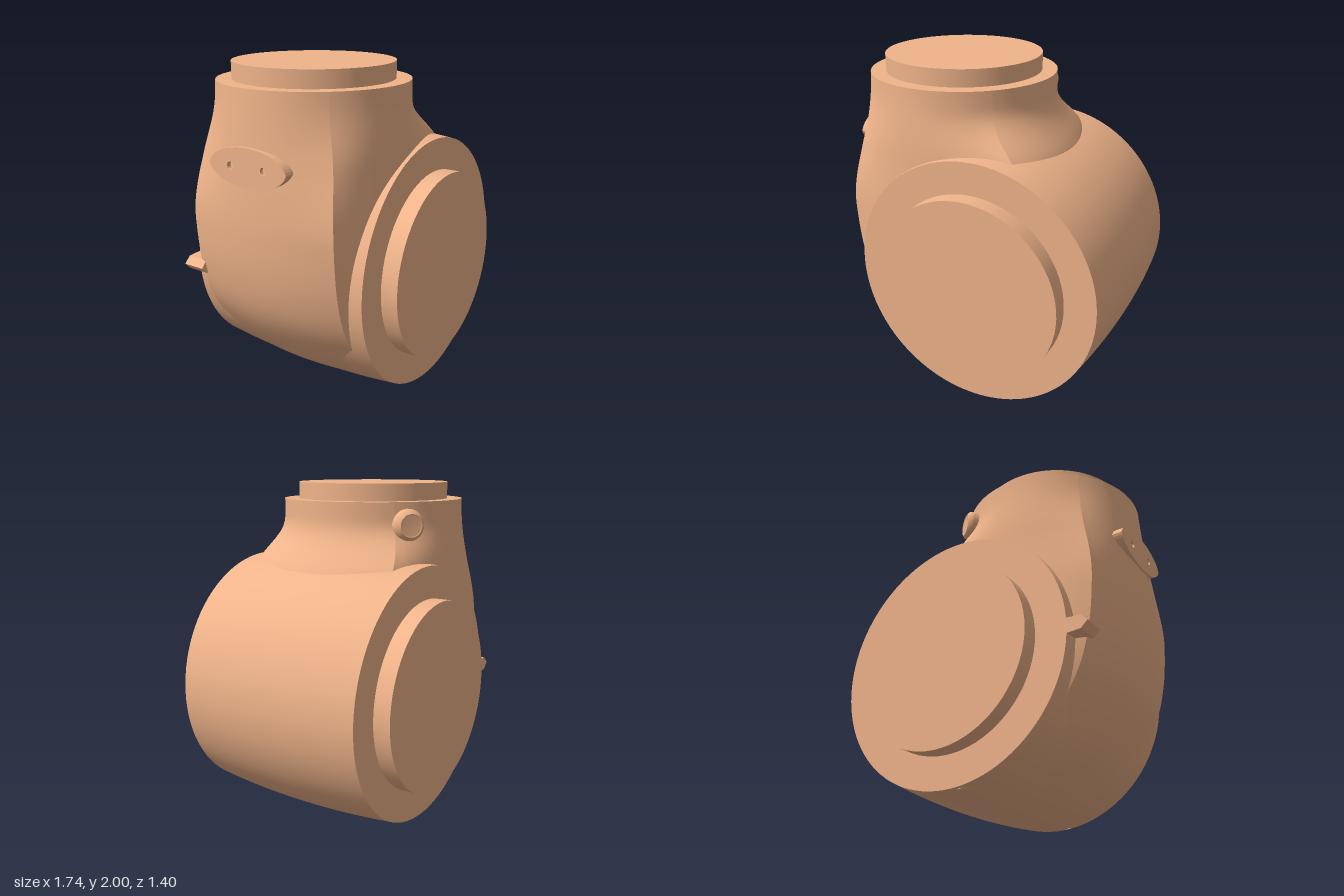
import * as THREE from 'three';

const BARREL = { x: 0.08, y: 0.793 };
const NECK_X = -0.28;

const { lerp, smoothstep } = THREE.MathUtils;

// One of the four bulged sides of the neck: round at the collar, square lower down
function neckSide(side, leftProfile, steps = 20) {
  const pos = [], index = [];
  leftProfile.forEach(({ x: xl, y }, i) => {
    // right edge: collar, flare, then hidden inside the barrel
    const flare = Math.pow(1 - smoothstep(y, 1.42, 1.8), 1.2);
    const xr = y > 1.42 ? lerp(0.275, 0.45, flare) : lerp(0.1, 0.45, smoothstep(y, 0.6, 1.42));
    const half = (xr - xl) / 2, mid = (xr + xl) / 2;
    const inL = Math.min(0.08, half * 0.4), inR = Math.min(0.12, half * 0.4);
    const round = lerp(0.575, 0.555, smoothstep(y, 1.4, 1.9));
    const squareL = 1 - smoothstep(y, 1.1, 1.85), squareR = 1 - smoothstep(y, 1.5, 1.78);
    for (let j = 0; j <= steps; j++) {
      const u = (j / steps) * 2 - 1;
      const t = (side + u / 2) * Math.PI / 2;
      const c = Math.cos(t), s = Math.sin(t);
      const along = lerp(xl + inL, xr - inR, (1 - u) / 2);
      const bulge = 0.575 - 0.08 * u * u;
      const [sx, sz] = [
        [xr - inR * u * u, 0.495 * u],
        [along, bulge],
        [xl + inL * u * u, -0.495 * u],
        [lerp(xl + inL, xr - inR, (1 + u) / 2), -bulge],
      ][side];
      const b = lerp(squareL, squareR, (1 + c) / 2);
      pos.push(lerp(mid + half * c, sx, b), y, lerp(round * s, sz, b));
      if (i < leftProfile.length - 1 && j < steps) {
        const a = i * (steps + 1) + j, d = a + steps + 1;
        index.push(a, a + 1, d, a + 1, d + 1, d);
      }
    }
  });
  const geo = new THREE.BufferGeometry();
  geo.setAttribute('position', new THREE.Float32BufferAttribute(pos, 3));
  geo.setIndex(index);
  geo.computeVertexNormals();
  return geo;
}

export function createModel() {
  const model = new THREE.Group();
  const material = new THREE.MeshStandardMaterial({ color: 0xf0b48a, side: THREE.DoubleSide });
  const add = (name, geometry, x = 0, y = 0, z = 0, parent = model) => {
    const mesh = new THREE.Mesh(geometry, material);
    mesh.name = name;
    mesh.position.set(x, y, z);
    parent.add(mesh);
    return mesh;
  };

  // Horizontal barrel with a slight belly, and its flat ends
  const belly = [];
  for (let i = 0; i <= 16; i++) {
    const k = i / 8 - 1;
    belly.push(new THREE.Vector2(0.789 - 0.032 * k * k, k * 0.597));
  }
  add('barrel', new THREE.LatheGeometry(belly, 96), BARREL.x, BARREL.y).rotation.x = Math.PI / 2;
  for (const s of [1, -1]) {
    const face = add(s > 0 ? 'frontFace' : 'backFace', new THREE.CircleGeometry(0.757, 96), BARREL.x, BARREL.y, s * 0.597);
    if (s < 0) face.rotation.y = Math.PI;
    add(s > 0 ? 'frontCap' : 'backCap', new THREE.CylinderGeometry(0.567, 0.567, 0.12, 72),
      BARREL.x, BARREL.y, s * 0.64).rotation.x = Math.PI / 2;
  }

  // Neck housing, swept down the left side and under the barrel
  const profile = new THREE.CatmullRomCurve3([
    [-0.835, 1.9], [-0.85, 1.65], [-0.866, 1.35], [-0.865, 1.1], [-0.835, 0.82], [-0.77, 0.6],
    [-0.66, 0.42], [-0.5, 0.238], [-0.3, 0.1], [-0.1, 0.035],
  ].map(([x, y]) => new THREE.Vector3(x, y, 0))).getSpacedPoints(64);
  const neck = new THREE.Group();
  neck.name = 'neck';
  model.add(neck);
  ['right', 'front', 'left', 'back'].forEach((n, side) =>
    add('neckWall' + side, neckSide(side, profile), 0, 0, 0, neck));

  // Collar top and upper cap
  add('collarTop', new THREE.CircleGeometry(0.555, 80), NECK_X, 1.9).rotation.x = -Math.PI / 2;
  add('topCap', new THREE.CylinderGeometry(0.465, 0.465, 0.12, 72), NECK_X, 1.94);

  // Lens-shaped pad with two screw holes on the outer wall
  const pad = new THREE.Shape();
  pad.moveTo(-0.265, 0);
  pad.bezierCurveTo(-0.24, 0.08, -0.1, 0.11, 0, 0.11);
  pad.bezierCurveTo(0.1, 0.11, 0.24, 0.08, 0.265, 0);
  pad.bezierCurveTo(0.24, -0.08, 0.1, -0.11, 0, -0.11);
  pad.bezierCurveTo(-0.1, -0.11, -0.24, -0.08, -0.265, 0);
  for (const s of [1, -1]) pad.holes.push(new THREE.Path().absarc(s * 0.115, 0, 0.022, 0, Math.PI * 2, true));
  add('screwPad', new THREE.ExtrudeGeometry(pad, { depth: 0.1, bevelEnabled: false, curveSegments: 16 }),
    -0.775, 1.49, 0).rotation.y = -Math.PI / 2;

  // Round button at the back right of the collar
  const button = add('button', new THREE.LatheGeometry([
    [0.095, -0.1], [0.092, 0.0], [0.085, 0.02], [0.066, 0.035], [0.066, 0.035], [0.06, 0.03], [0, 0.03],
  ].map(([r, h]) => new THREE.Vector2(r, h)), 32), 0.066, 1.77, -0.462);
  button.quaternion.setFromUnitVectors(new THREE.Vector3(0, 1, 0), new THREE.Vector3(0.6, 0, -0.8));

  // Small pointer beside the back rim of the barrel
  const pointer = new THREE.Shape();
  pointer.moveTo(-0.66, 0.045);
  pointer.lineTo(-0.76, 0.04);
  pointer.lineTo(-0.8, 0);
  pointer.lineTo(-0.76, -0.04);
  pointer.lineTo(-0.66, -0.045);
  add('pointer', new THREE.ExtrudeGeometry(pointer, { depth: 0.14, bevelEnabled: false }), 0, BARREL.y, -0.597);

  return model;
}
